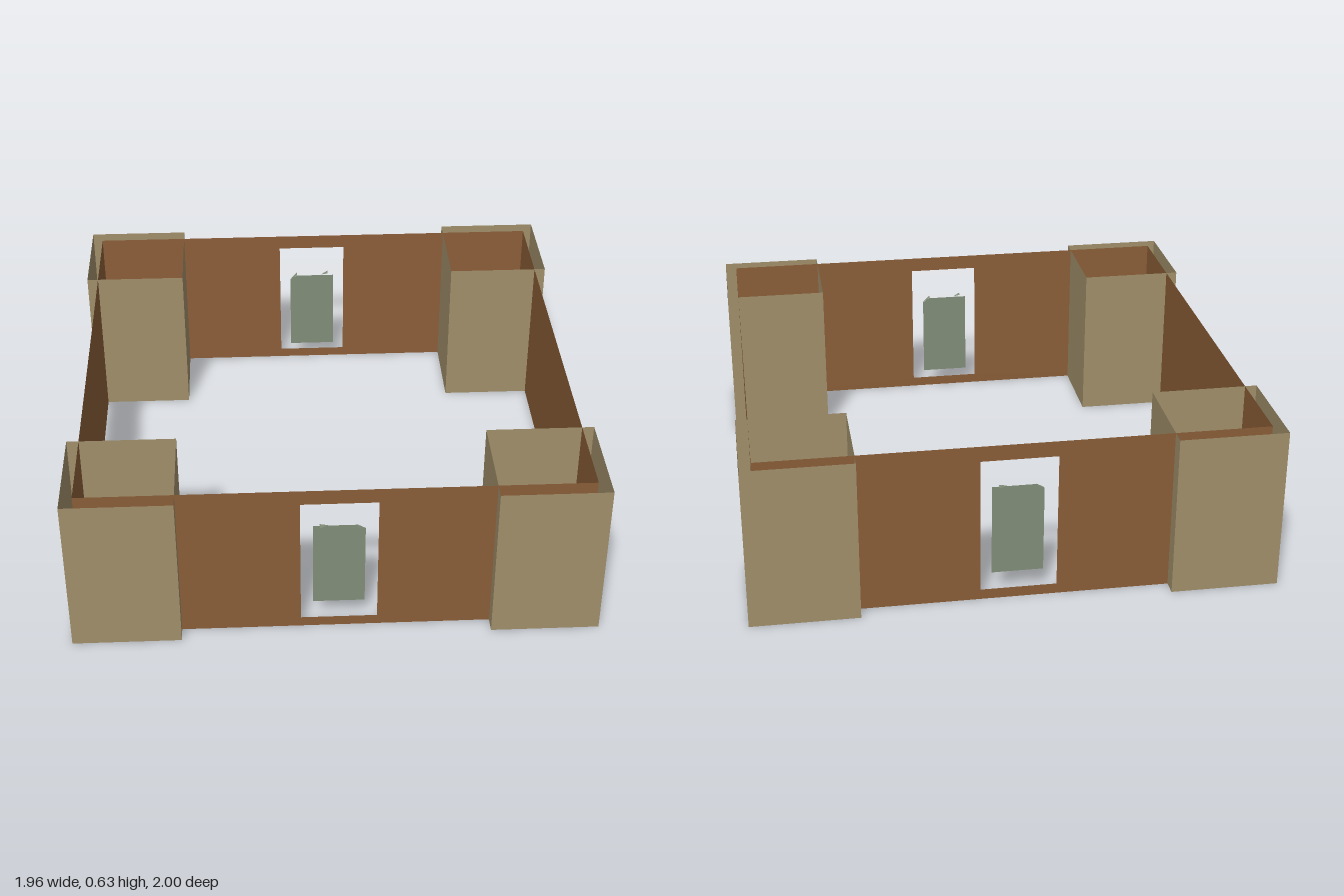
import * as THREE from 'three';

const mat = (name, color) => {
  const m = new THREE.MeshStandardMaterial({ color, side: THREE.DoubleSide, flatShading: true });
  m.name = name;
  return m;
};

export function createModel() {
  const clay = mat('brown wall', 0x8b5e38);
  const stone = mat('tan tower', 0xa08f6a);
  const door = mat('grey green door', 0x828e79);

  const H = 0.63;                 // height of walls and towers
  const WX = 0.937, WZ = 0.94;    // wall planes
  const model = new THREE.Group();
  model.name = 'fort';

  const add = (parent, name, geometry, material, x = 0, y = 0, z = 0, turn = 0) => {
    const mesh = new THREE.Mesh(geometry, material);
    mesh.name = name;
    mesh.position.set(x, y, z);
    mesh.rotation.y = turn;
    parent.add(mesh);
    return mesh;
  };
  const outline = (points) => new THREE.Shape(points.map(([x, y]) => new THREE.Vector2(x, y)));

  // Gate wall: a thin sheet with a rectangular opening
  const wallShape = outline([[-WX, 0], [WX, 0], [WX, H], [-WX, H]]);
  wallShape.holes.push(outline([[-0.132, 0.04], [-0.132, 0.57], [0.153, 0.57], [0.153, 0.04]]));
  const gateWall = new THREE.ShapeGeometry(wallShape);

  // Door panel with one clipped upper corner
  const doorPanel = new THREE.ShapeGeometry(outline(
    [[-0.085, 0.09], [0.108, 0.09], [0.108, 0.43], [0.08, 0.447], [-0.085, 0.447]]));

  // Small sloping tab on the top edge of the door
  const tab = (x, y, drop) => {
    const g = new THREE.BufferGeometry();
    g.setAttribute('position', new THREE.Float32BufferAttribute(
      [x, y, 0, x, y, 0.026, x + 0.031, y - drop, 0], 3));
    g.computeVertexNormals();
    return g;
  };

  // The two halves repeat by a half turn
  for (const [label, turn] of [['front', 0], ['back', Math.PI]]) {
    const half = new THREE.Group();
    half.name = label + 'Half';
    half.rotation.y = turn;
    add(half, 'gateWall', gateWall, clay, 0, 0, WZ);
    add(half, 'door', doorPanel, door, 0, 0, 0.908);
    add(half, 'doorTab', tab(-0.06, 0.455, 0.006), door, 0, 0, 0.908);
    add(half, 'doorCornerTab', tab(0.077, 0.449, 0.018), door, 0, 0, 0.908);
    add(half, 'sideWall', new THREE.PlaneGeometry(2 * WZ, H), clay, WX, H / 2, 0, Math.PI / 2);
    model.add(half);
  }

  // Corner towers: square tubes, open above and below
  const W = 0.405, cx = 0.982 - W / 2, cz = 1 - W / 2;
  const towerSide = new THREE.PlaneGeometry(W, H);
  for (const sx of [-1, 1]) for (const sz of [-1, 1]) {
    const tower = new THREE.Group();
    tower.name = (sz > 0 ? 'front' : 'back') + (sx > 0 ? 'Left' : 'Right') + 'Tower';
    tower.position.set(sx * cx, H / 2, sz * cz);
    for (let i = 0; i < 4; i++) {
      const a = i * Math.PI / 2;
      add(tower, 'towerSide', towerSide, stone, Math.sin(a) * W / 2, 0, Math.cos(a) * W / 2, a);
    }
    model.add(tower);
  }
  return model;
}
